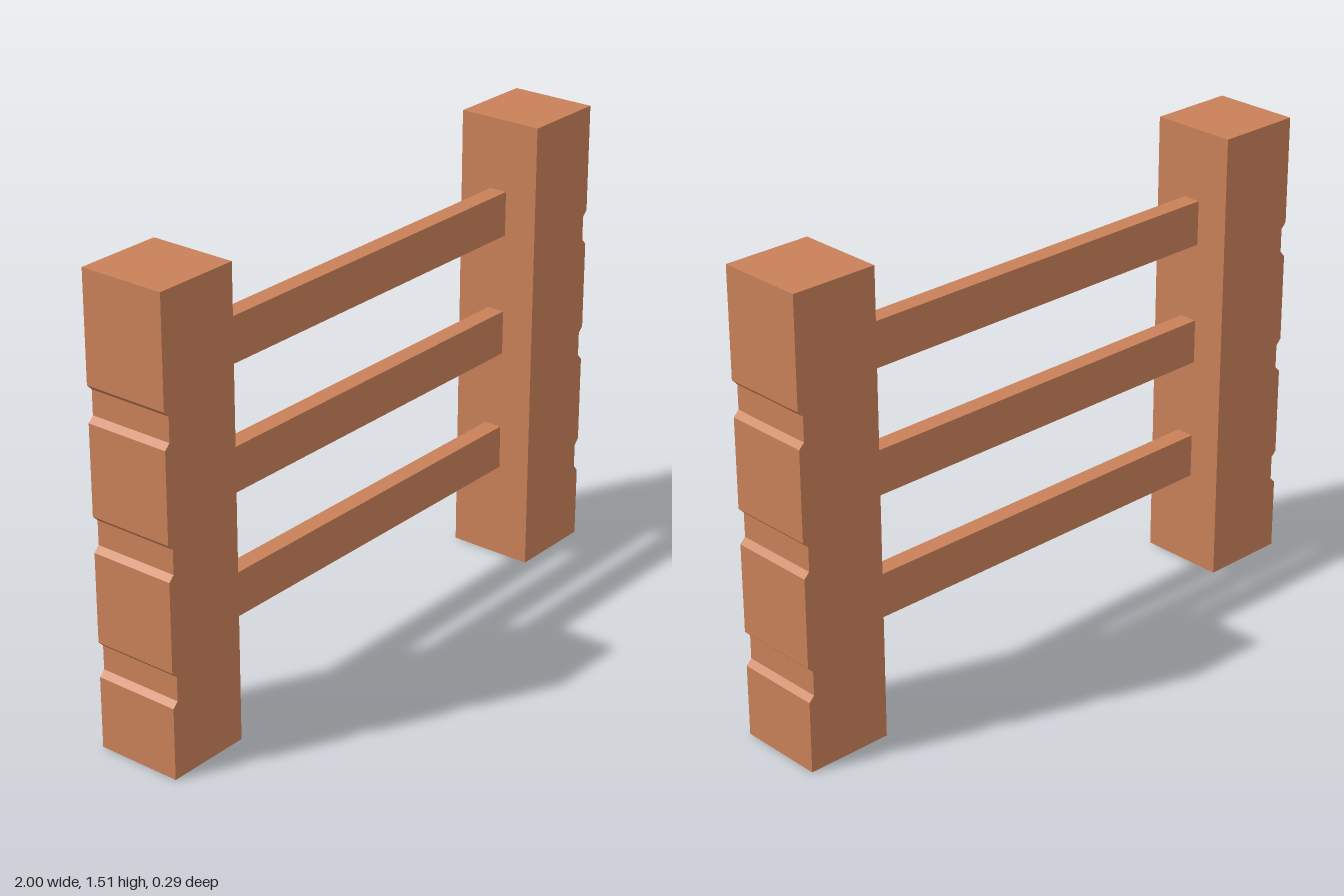
import * as THREE from 'three';

const HEIGHT = 1.51, OUTER = 1, INNER = 0.713, DEPTH = 0.287;
const NOTCH_DEPTH = 0.018, NOTCH_SLOPE = 0.018;
const NOTCHES = [[0.235, 0.35], [0.64, 0.755], [1.045, 1.16]];
const RAIL_CENTRES = [0.391, 0.798, 1.204];

const wood = new THREE.MeshStandardMaterial({ color: 0xc88058, flatShading: true });

// Post outline with chamfered grooves cut into its outer face; side is +1 (left) or -1 (right)
function createPost(side) {
  const points = [[INNER, 0], [OUTER, 0]];
  for (const [low, high] of NOTCHES) {
    points.push(
      [OUTER, low],
      [OUTER - NOTCH_DEPTH, low + NOTCH_SLOPE],
      [OUTER - NOTCH_DEPTH, high - NOTCH_SLOPE],
      [OUTER, high]
    );
  }
  points.push([OUTER, HEIGHT], [INNER, HEIGHT]);
  const shape = new THREE.Shape(points.map(([x, y]) => new THREE.Vector2(side * x, y)));
  const geometry = new THREE.ExtrudeGeometry(shape, { depth: DEPTH, bevelEnabled: false });
  geometry.translate(0, 0, -DEPTH / 2);
  const post = new THREE.Mesh(geometry, wood);
  post.name = side > 0 ? 'leftPost' : 'rightPost';
  return post;
}

export function createModel() {
  const fence = new THREE.Group();
  fence.name = 'fence';

  // Posts
  for (const side of [1, -1]) fence.add(createPost(side));

  // Horizontal rails between the posts
  const railGeometry = new THREE.BoxGeometry(2 * INNER, 0.146, 0.06);
  RAIL_CENTRES.forEach((y, i) => {
    const rail = new THREE.Mesh(railGeometry, wood);
    rail.name = ['lowerRail', 'middleRail', 'upperRail'][i];
    rail.position.y = y;
    fence.add(rail);
  });

  return fence;
}
